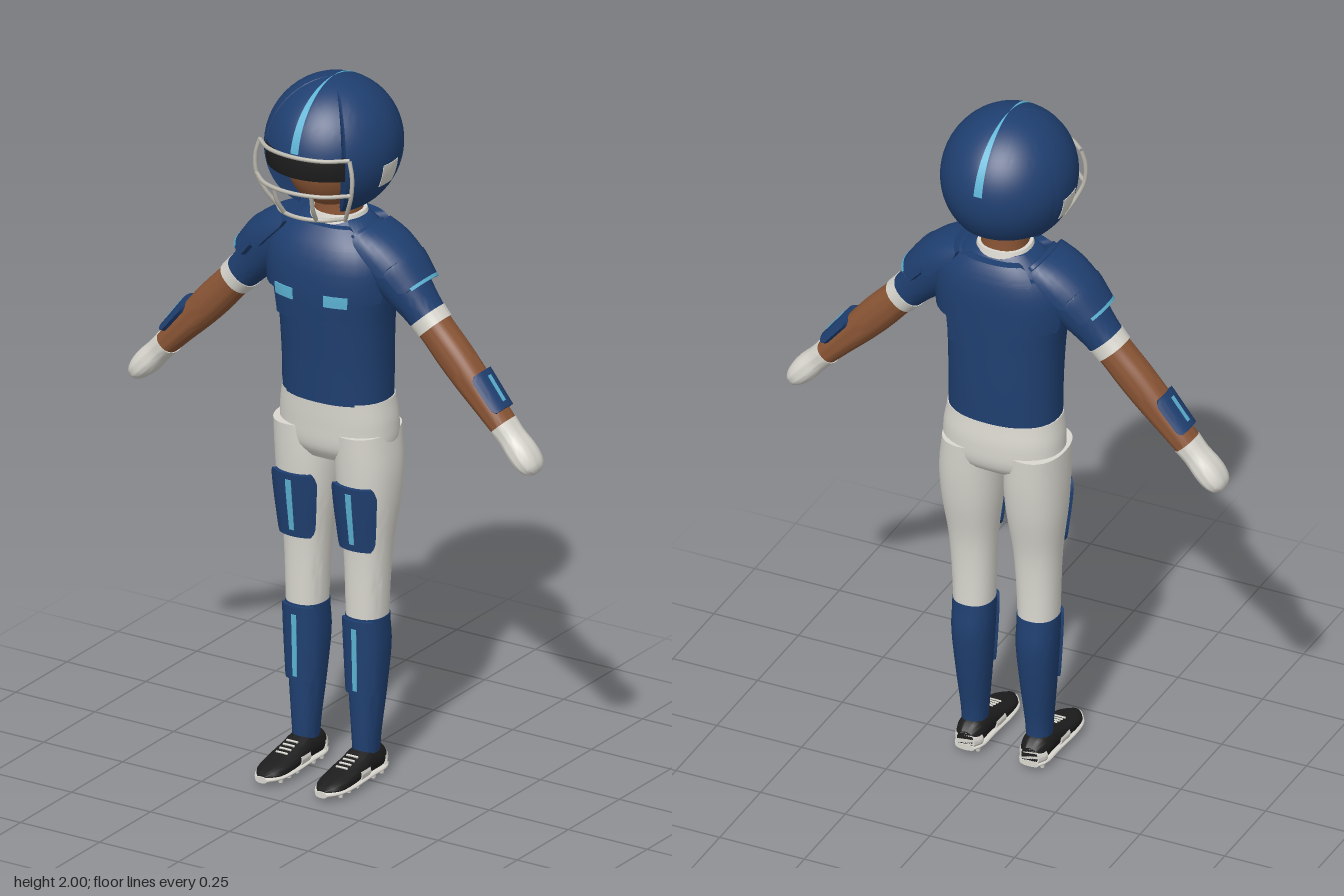
import * as THREE from 'three';
import { toCreasedNormals } from 'three/addons/utils/BufferGeometryUtils.js';

const paint = (name, color) => Object.assign(new THREE.MeshStandardMaterial({ color }), { name });
const navy = paint('navy', 0x1f3f70);
const cyan = paint('light blue', 0x5cb3d4);
const cloth = paint('off white', 0xd9d7cf);
const skin = paint('skin', 0x8a5535);
const black = paint('black', 0x1d1d1e);
const metal = paint('bar grey', 0xb9b6ac);

// Skin a list of equal-length rings, closing the ends with strips.
function loft(rings, caps = true, crease = 0.7) {
  const n = rings[0].length, last = (rings.length - 1) * n, index = [];
  for (let i = 0; i < rings.length - 1; i++) for (let j = 0; j < n; j++) {
    const a = i * n + j, b = i * n + (j + 1) % n;
    index.push(a, b, b + n, a, b + n, a + n);
  }
  if (caps) for (let j = 0; j < n / 2 - 1; j++) {
    const k = n - 1 - j;
    index.push(j, k - 1, j + 1, j, k, k - 1);
    index.push(last + j, last + j + 1, last + k - 1, last + j, last + k - 1, last + k);
  }
  const g = new THREE.BufferGeometry();
  g.setAttribute('position', new THREE.Float32BufferAttribute(rings.flat(2), 3));
  g.setIndex(index);
  return toCreasedNormals(g, crease);
}

function add(parent, name, geometry, material) {
  const m = new THREE.Mesh(geometry, material);
  m.name = name;
  parent.add(m);
  return m;
}

// Smoothly interpolate a table of sections: [y, centre x, half width, front z, back z].
function sample(table, y) {
  let i = 0;
  while (i < table.length - 2 && y > table[i + 1][0]) i++;
  const p = table[i], q = table[i + 1], o = table[i - 1] || p, r = table[i + 2] || q;
  const h = q[0] - p[0], t = THREE.MathUtils.clamp((y - p[0]) / h, 0, 1);
  return p.map((v, k) => {
    const m0 = (q[k] - o[k]) / (q[0] - o[0]) * h, m1 = (r[k] - v) / (r[0] - p[0]) * h;
    return v + t * m0 + t * t * (3 * (q[k] - v) - 2 * m0 - m1) + t * t * t * (m0 + m1 - 2 * (q[k] - v));
  });
}

const bend = v => Math.sign(v) * Math.abs(v) ** 0.88;
function at(table, y, a, off) {
  const [, cx, rx, zf, zb] = sample(table, y);
  return [cx + (rx + off) * bend(Math.sin(a)), y, (zf + zb) / 2 + ((zf - zb) / 2 + off) * bend(Math.cos(a))];
}

// Closed body between two heights.
function body(table, y0, y1, off = 0, rows = 16) {
  const rings = [];
  for (let i = 0; i <= rows; i++)
    rings.push(Array.from({ length: 36 }, (_, j) => at(table, y0 + (y1 - y0) * i / rows, j / 36 * 2 * Math.PI, off)));
  return loft(rings);
}

// Curved plate lying on a body; angle 0 faces front, PI / 2 faces +x.
function plate(table, y0, y1, mid, half, off, thick, round = 0) {
  const rings = [], n = 14;
  for (const f of [0, 0.06, 0.14, 0.3, 0.5, 0.7, 0.86, 0.94, 1]) {
    const edge = Math.max(0, 1 - Math.min(f, 1 - f) / 0.14);
    const h = half * (1 - round * edge * edge), y = y0 + (y1 - y0) * f;
    const arc = o => Array.from({ length: n + 1 }, (_, j) => at(table, y, mid - h + 2 * h * j / n, o));
    rings.push([...arc(off), ...arc(off - thick).reverse()]);
  }
  return loft(rings);
}

// Point on the helmet ellipsoid.
function dome(a, y, s) {
  const c = THREE.MathUtils.clamp((y - 1.81) / 0.19, -1, 1), r = Math.sqrt(1 - c * c) * s;
  return [0.182 * r * Math.sin(a), 1.81 + 0.19 * c * s, -0.0125 + 0.1975 * r * Math.cos(a)];
}
function domePatch(a0, a1, y0, y1, sIn, sOut) {
  const t0 = Math.acos((y0 - 1.81) / 0.19), t1 = Math.acos((y1 - 1.81) / 0.19), rings = [];
  for (let i = 0; i <= 20; i++) {
    const y = 1.81 + 0.19 * Math.cos(t0 + (t1 - t0) * i / 20);
    const arc = s => Array.from({ length: 17 }, (_, j) => dome(a0 + (a1 - a0) * j / 16, y, s));
    rings.push([...arc(sOut), ...arc(sIn).reverse()]);
  }
  return loft(rings);
}

const TORSO = [[1.09, 0, .157, .078, -.147], [1.2, 0, .157, .084, -.15], [1.33, 0, .163, .093, -.15], [1.42, 0, .176, .098, -.15],
  [1.5, 0, .175, .092, -.148], [1.55, 0, .15, .072, -.138], [1.59, 0, .11, .042, -.12], [1.605, 0, .085, .025, -.105]];
const PELVIS = [[.915, 0, .12, .04, -.1], [.95, 0, .163, .063, -.143], [1.02, 0, .17, .072, -.154], [1.095, 0, .16, .077, -.148]];
const LEG = [[.06, .097, .03, .018, -.06], [.12, .097, .034, .02, -.062], [.25, .095, .045, .022, -.085], [.38, .094, .054, .024, -.1],
  [.47, .093, .055, .026, -.092], [.66, .095, .064, .033, -.1], [.8, .095, .08, .05, -.128], [.9, .094, .084, .06, -.142], [1, .088, .078, .068, -.15]];
const ARM = [[-.55, 0, .032, .041, -.041], [-.47, 0, .038, .044, -.044], [-.38, 0, .046, .046, -.046], [-.3, 0, .049, .047, -.047],
  [-.21, 0, .047, .048, -.048], [-.15, 0, .05, .054, -.054], [-.08, 0, .06, .066, -.066], [-.02, 0, .064, .076, -.076], [.05, 0, .05, .08, -.08], [.12, 0, .015, .07, -.07]];
const HAND = [[-.688, 0, .008, .016, -.016], [-.68, 0, .02, .033, -.033], [-.655, 0, .031, .045, -.045], [-.62, 0, .036, .046, -.046], [-.57, 0, .034, .041, -.041], [-.53, 0, .036, .044, -.044]];
// Shoe sections run along z, with height stored as negative depth.
const SHOE = [[-.088, 0, .024, -.016, -.068], [-.06, 0, .038, -.014, -.09], [0, 0, .04, -.014, -.094], [.04, 0, .042, -.014, -.08], [.1, 0, .045, -.014, -.062], [.16, 0, .038, -.014, -.047], [.195, 0, .014, -.016, -.034]];
const SOLE = SHOE.map(([z, c, w]) => [z * 1.02, c, w + .004, -.012, -.03]);
const PANEL = SHOE.map(([z, c, w]) => [z, c, w + .003, -.014, -.064]);

function makeHelmet() {
  const g = new THREE.Group();
  g.name = 'helmet';
  // Shell with a face opening and a raised nape edge
  const edge = a => { const d = Math.min(a, 2 * Math.PI - a); return d < 0.77 ? 1.835 : d < 1.9 ? 1.645 : 1.687; };
  const row = (v, s) => Array.from({ length: 96 }, (_, j) => {
    const a = j / 96 * 2 * Math.PI, t = Math.acos((edge(a) - 1.81) / 0.19) * (1 - v);
    return dome(a, 1.81 + 0.19 * Math.cos(t), s);
  });
  const outer = [], inner = [];
  for (let i = 0; i <= 24; i++) { outer.push(row(i / 24, 1)); inner.unshift(row(i / 24, 0.94)); }
  add(g, 'helmetShell', loft([...outer, ...inner, outer[0]], false), navy);
  add(g, 'visor', domePatch(-0.77, 0.77, 1.768, 1.836, 0.95, 0.995), black);
  for (const a of [0, Math.PI]) add(g, 'helmetStripe', domePatch(a - 0.068, a + 0.068, 1.84, 2, 0.98, 1.004), cyan);
  for (const s of [-1, 1]) add(g, 'earPatch', domePatch(s * 1.58 - 0.18, s * 1.58 + 0.18, 1.725, 1.79, 0.98, 1.008), cloth);

  // Face guard bars
  const bar = points => add(g, 'faceGuardBar', new THREE.TubeGeometry(
    new THREE.CatmullRomCurve3(points.map(p => new THREE.Vector3(...p))), 24, 0.006, 8), metal);
  const across = (y, x, zSide, zMid) => bar([[-x, y, zSide], [-x * .6, y, zSide + (zMid - zSide) * .72], [0, y, zMid], [x * .6, y, zSide + (zMid - zSide) * .72], [x, y, zSide]]);
  across(1.835, .142, .132, .192);
  across(1.737, .15, .135, .205);
  across(1.65, .108, .1, .162);
  for (const s of [-1, 1]) {
    bar([[s * .142, 1.835, .132], [s * .153, 1.79, .136], [s * .15, 1.737, .135], [s * .132, 1.69, .122], [s * .108, 1.645, .1]]);
    bar([[s * .06, 1.737, .193], [s * .056, 1.69, .178], [s * .05, 1.65, .152]]);
  }
  return g;
}

function makeArm(side) {
  const root = new THREE.Group(), g = new THREE.Group(), out = Math.PI / 2;
  root.name = side > 0 ? 'leftArm' : 'rightArm';
  root.position.set(0, 0, -.022);
  if (side < 0) root.rotation.y = Math.PI;
  g.position.set(.17, 1.5, 0);
  g.rotation.z = .746;
  root.add(g);
  add(g, 'forearm', body(ARM, -.55, -.19), skin);
  add(g, 'sleeve', body(ARM, -.185, .11, .002), navy);
  add(g, 'sleeveCuff', body(ARM, -.212, -.176, .004, 3), cloth);
  add(g, 'glove', body(HAND, -.688, -.53), cloth);
  // Layered shoulder pads
  add(g, 'upperShoulderPad', plate(ARM, -.035, .1, out, 1.5, .02, .02, .1), navy);
  add(g, 'lowerShoulderPad', plate(ARM, -.1, -.02, out, 1.3, .022, .02, .2), navy);
  add(g, 'shoulderPadTrim', plate(ARM, -.105, -.096, out, .85, .023, .009), cyan);
  // Forearm pad
  add(g, 'forearmPad', plate(ARM, -.5, -.385, out, 1, .012, .014, .25), navy);
  add(g, 'forearmStripe', plate(ARM, -.482, -.403, out, .08, .014, .006), cyan);
  return root;
}

function makeLeg(side) {
  const g = new THREE.Group();
  g.name = side > 0 ? 'leftLeg' : 'rightLeg';
  if (side < 0) g.position.x = -.19;
  add(g, 'trouserLeg', body(LEG, .465, 1), cloth);
  add(g, 'sock', body(LEG, .06, .468, .002), navy);
  add(g, 'thighPad', plate(LEG, .67, .857, 0, .82, .012, .016, .2), navy);
  add(g, 'thighStripe', plate(LEG, .69, .84, 0, .068, .014, .006), cyan);
  add(g, 'shinPad', plate(LEG, .25, .463, 0, .95, .01, .013, .12), navy);
  add(g, 'shinStripe', plate(LEG, .262, .44, 0, .085, .012, .006), cyan);

  // Shoe with sole, panels, laces and studs
  const shoe = new THREE.Group();
  shoe.name = 'shoe';
  shoe.position.x = .095;
  g.add(shoe);
  const piece = (name, table, z0, z1, mat, off = 0) => add(shoe, name, body(table, z0, z1, off).rotateX(Math.PI / 2), mat);
  piece('shoeUpper', SHOE, -.088, .195, black);
  piece('shoeSole', SOLE, -.0897, .1985, cloth);
  piece('shoeSidePanel', PANEL, .02, .068, cloth);
  piece('heelPanel', PANEL, -.088, -.06, cloth, .001);
  for (let i = 0; i < 4; i++) {
    const z = .045 + i * .017;
    const lace = add(shoe, 'lace', new THREE.BoxGeometry(.036, .004, .005), cloth);
    lace.position.set(0, -sample(SHOE, z)[4] + .001, z);
    lace.rotation.x = .3;
  }
  for (const z of [-.06, -.02, .06, .1, .14]) for (const x of [-.025, .025]) {
    add(shoe, 'stud', new THREE.CylinderGeometry(.008, .006, .016, 8), cloth).position.set(x, .008, z);
  }
  return g;
}

export function createModel() {
  const model = new THREE.Group();
  model.name = 'footballPlayer';
  // Head and neck
  const head = add(model, 'head', new THREE.SphereGeometry(1, 32, 24), skin);
  head.scale.set(.12, .135, .138);
  head.position.set(0, 1.775, -.005);
  const neck = [[1.55, 0, .07, .035, -.105], [1.62, 0, .063, .025, -.1], [1.75, 0, .063, .025, -.1]];
  add(model, 'neck', body(neck, 1.55, 1.75), skin);
  add(model, 'collar', body([[1.57, 0, .088, .045, -.118], [1.615, 0, .073, .032, -.108]], 1.57, 1.615, 0, 4), cloth);
  model.add(makeHelmet());

  // Jersey and body armour, front and back
  add(model, 'jersey', body(TORSO, 1.09, 1.605), navy);
  for (const a of [0, Math.PI]) {
    add(model, 'lowerChestPlate', plate(TORSO, 1.33, 1.42, a, .64, .02, .03), navy);
    add(model, 'upperChestPlate', plate(TORSO, 1.4, 1.555, a, 1.2, .02, .03, .05), navy);
    add(model, 'neckPlate', plate(TORSO, 1.545, 1.592, a, .75, .022, .03, .1), navy);
  }
  for (const s of [-1, 1]) add(model, 'chestMark', plate(TORSO, 1.388, 1.42, s * .39, .18, .023, .006), cyan);

  add(model, 'trouserSeat', body(PELVIS, .915, 1.095), cloth);
  for (const s of [-1, 1]) model.add(makeArm(s), makeLeg(s));
  return model;
}
